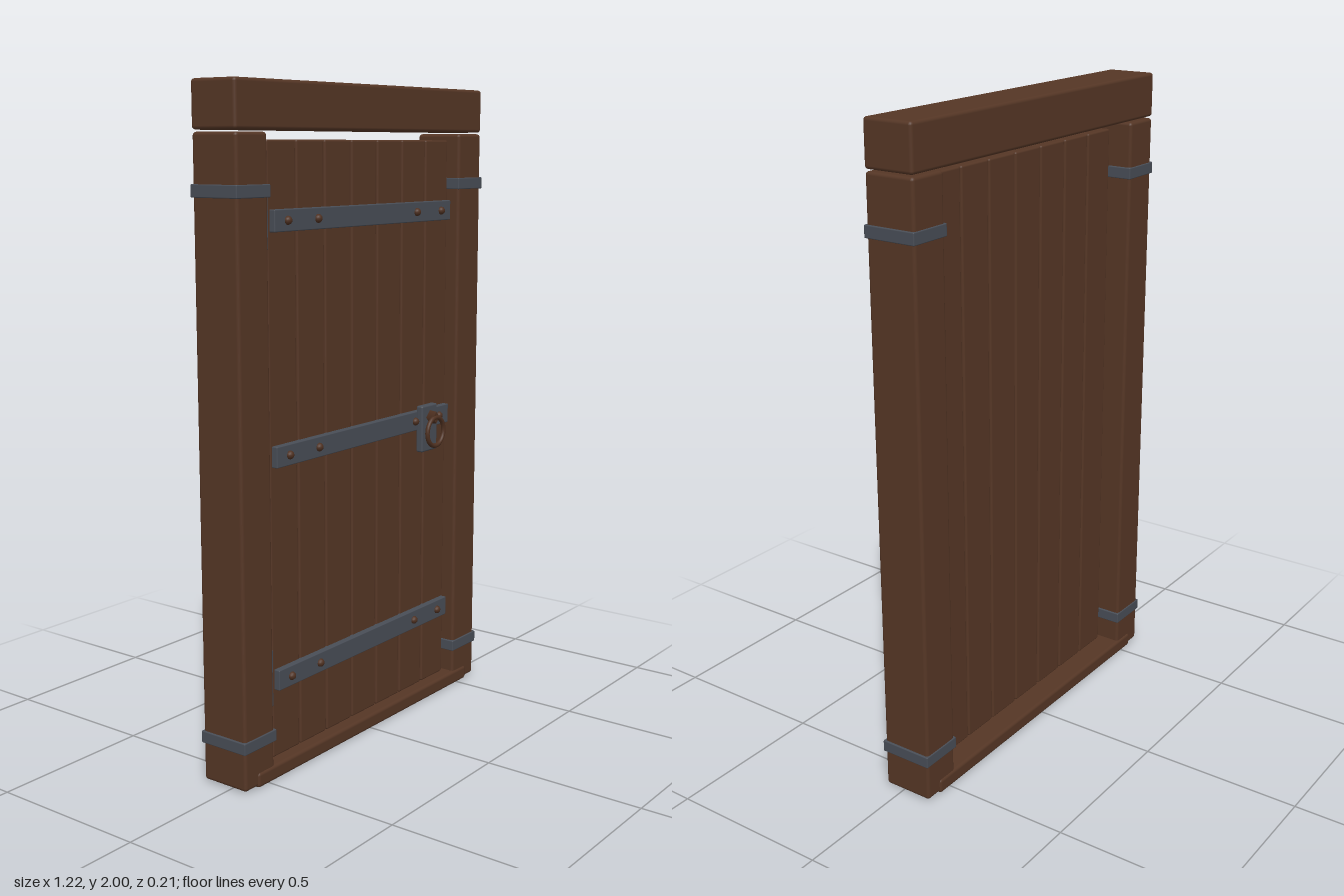
import * as THREE from 'three';
import { RoundedBoxGeometry } from 'three/addons/geometries/RoundedBoxGeometry.js';

export function createModel() {
  const door = new THREE.Group();
  door.name = 'door';
  const material = (name, color) => {
    const m = new THREE.MeshStandardMaterial({ color });
    m.name = name;
    return m;
  };
  const wood = material('brown wood', 0x553625);
  const iron = material('dark iron', 0x484d56);
  const rust = material('rusty metal', 0x4e3020);

  const add = (name, geometry, mat, x = 0, y = 0, z = 0) => {
    const mesh = new THREE.Mesh(geometry, mat);
    mesh.name = name;
    mesh.position.set(x, y, z);
    door.add(mesh);
    return mesh;
  };
  // Softly bevelled block given by its limits on each axis
  const block = (name, mat, [x0, x1], [y0, y1], [z0, z1], bevel) =>
    add(name, new RoundedBoxGeometry(x1 - x0, y1 - y0, z1 - z0, 2, bevel), mat,
      (x0 + x1) / 2, (y0 + y1) / 2, (z0 + z1) / 2);
  // Disc or short rod pointing forwards
  const rod = (name, mat, r0, r1, length, sides, x, y, z) =>
    add(name, new THREE.CylinderGeometry(r0, r1, length, sides).rotateX(Math.PI / 2), mat, x, y, z);

  // Frame
  block('topBeam', wood, [-0.604, 0.604], [1.865, 2], [-0.1, 0.06], 0.01);
  block('sill', wood, [-0.55, 0.55], [0, 0.046], [-0.105, 0.065], 0.01);
  for (const side of [-1, 1]) {
    const cx = side * 0.538;
    block('post', wood, [cx - 0.064, cx + 0.064], [0.005, 1.86], [-0.1, 0.06], 0.01);
    for (const y of [0.138, 1.703])
      block('postBand', iron, [cx - 0.07, cx + 0.07], [y - 0.018, y + 0.018], [-0.103, 0.064], 0.003);
  }

  // Planks
  for (let i = 0; i < 7; i++) {
    const cx = -0.003 + (i - 3) * 0.1285;
    block('plank', wood, [cx - 0.0612, cx + 0.0612], [0.052, 1.84], [-0.037, 0.035], 0.006);
  }

  // Iron straps with domed rivets
  for (const y of [0.292, 0.956, 1.62]) {
    block('strap', iron, [-0.441, 0.436], [y - 0.031, y + 0.031], [0.03, 0.054], 0.003);
    for (const x of [-0.385, -0.25, 0.245, 0.38]) {
      const dome = new THREE.SphereGeometry(0.013, 12, 5, 0, Math.PI * 2, 0, Math.PI / 2);
      add('rivet', dome.rotateX(Math.PI / 2), rust, x, y, 0.054);
    }
  }

  // Hinge plates beside the left-hand post
  for (const y of [0.298, 1.627])
    block('hinge', iron, [-0.482, -0.445], [y - 0.087, y + 0.087], [-0.005, 0.035], 0.004);

  // Handle plate, mount and pull ring
  block('handlePlate', iron, [0.255, 0.34], [0.854, 1.005], [0.05, 0.075], 0.006);
  rod('handleMount', rust, 0.019, 0.022, 0.03, 4, 0.297, 0.966, 0.085);
  add('pullRing', new THREE.TorusGeometry(0.046, 0.0075, 10, 28), rust, 0.297, 0.92, 0.0975);

  return door;
}
